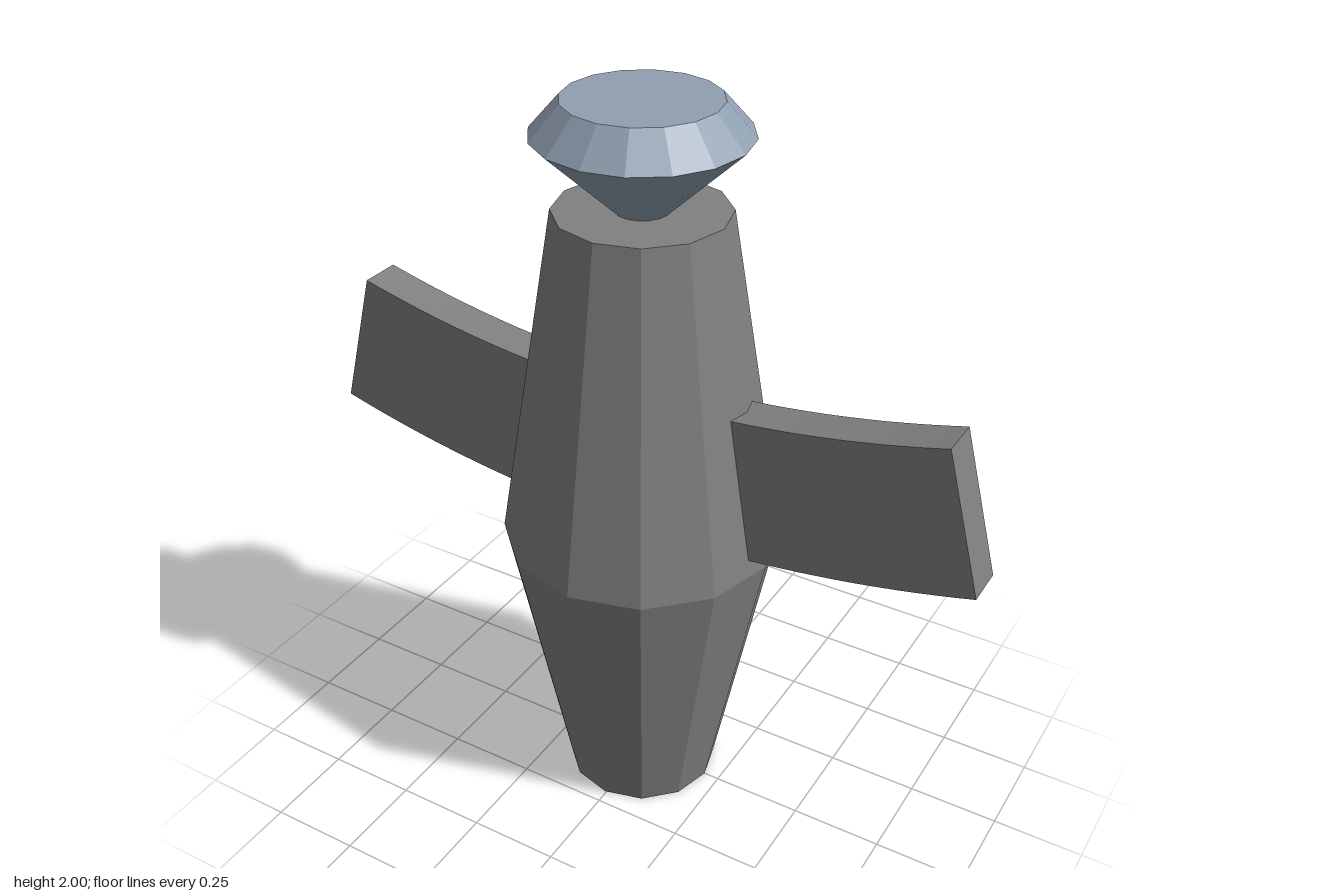
import * as THREE from 'three';

export function createModel() {
  const group = new THREE.Group();
  const stone = new THREE.MeshStandardMaterial({ color: 0x808080, flatShading: true });
  stone.name = 'grey stone';
  const crystal = new THREE.MeshStandardMaterial({ color: 0x909fb0, flatShading: true });
  crystal.name = 'pale blue crystal';

  // Faceted frustum spanning y0..y1
  function frustum(name, rBottom, rTop, y0, y1, sides, material, capped) {
    const geometry = new THREE.CylinderGeometry(rTop, rBottom, y1 - y0, sides, 1, !capped);
    const mesh = new THREE.Mesh(geometry, material);
    mesh.name = name;
    mesh.position.set(-0.004, (y0 + y1) / 2, 0);
    return mesh;
  }

  // Twelve-sided body, widest below the middle
  const body = new THREE.Group();
  body.name = 'body';
  body.add(
    frustum('lowerBody', 0.21, 0.372, 0, 0.81, 12, stone, true),
    frustum('upperBody', 0.372, 0.222, 0.81, 1.725, 12, stone, true)
  );
  group.add(body);

  // Cut gem balanced on its point
  const gem = new THREE.Group();
  gem.name = 'gem';
  gem.add(
    frustum('gemPavilion', 0, 0.27, 1.66, 1.915, 16, crystal, true),
    frustum('gemCrown', 0.27, 0.195, 1.915, 2, 16, crystal, true)
  );
  group.add(gem);

  // Curved crossbar through the body: a ring sector about a high centre
  const centreY = 4.42, inner = 3.18, outer = 3.58, half = 0.267;
  const down = -Math.PI / 2;
  const sector = new THREE.Shape();
  sector.absarc(0, centreY, outer, down - half, down + half, false);
  sector.absarc(0, centreY, inner, down + half, down - half, true);
  sector.closePath();
  const barGeometry = new THREE.ExtrudeGeometry(sector, { depth: 0.114, bevelEnabled: false, curveSegments: 20 });
  barGeometry.translate(0, 0, -0.057);
  const crossbar = new THREE.Mesh(barGeometry, stone);
  crossbar.name = 'crossbar';
  group.add(crossbar);

  return group;
}
